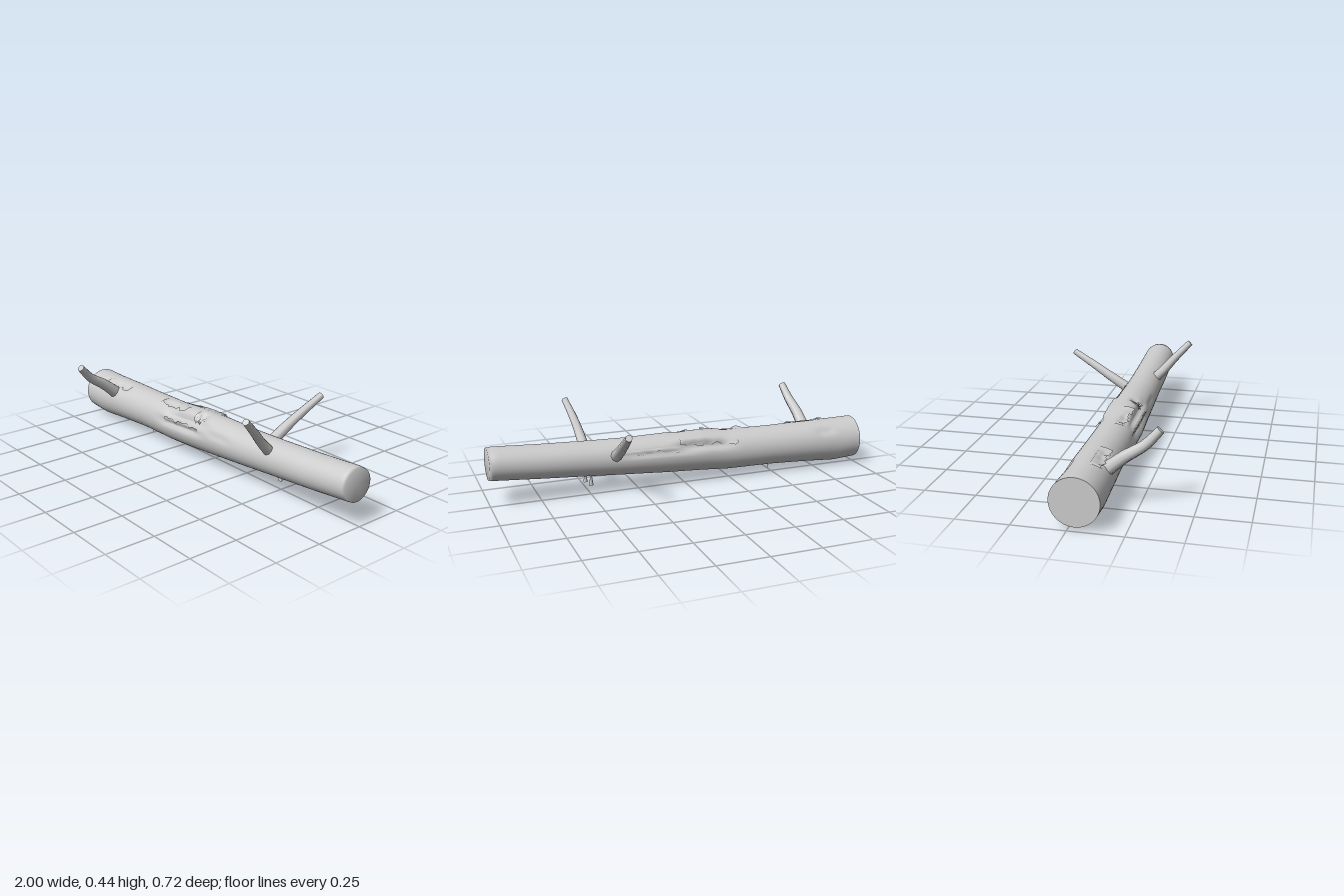
import * as THREE from 'three';

const material = new THREE.MeshStandardMaterial({ color: 0xcccccc });
const barkMaterial = new THREE.MeshStandardMaterial({ color: 0xcccccc, side: THREE.DoubleSide });
const SIDES = 48, STEPS = 120;
const rad = THREE.MathUtils.degToRad;

// Trunk sections: x, bottom y, top y, back z, front z
const sections = [
  [-1, 0.02, 0.245, -0.078, 0.147], [-0.88, 0.011, 0.243, -0.075, 0.147],
  [-0.7, 0.024, 0.243, -0.074, 0.143], [-0.5, 0.034, 0.241, -0.07, 0.136],
  [-0.25, 0.036, 0.245, -0.066, 0.139], [-0.1, 0.046, 0.258, -0.065, 0.146],
  [0.1, 0.058, 0.262, -0.062, 0.137], [0.3, 0.073, 0.26, -0.058, 0.13],
  [0.5, 0.088, 0.266, -0.055, 0.123], [0.75, 0.107, 0.277, -0.056, 0.119],
  [0.975, 0.126, 0.291, -0.057, 0.112], [1, 0.129, 0.288, -0.053, 0.108],
];

// Hollows (negative) and swellings (positive): x, angle, half length, half angle, height
const dents = [
  [-0.13, 12, 0.17, 9, -0.016], [-0.1, 38, 0.15, 13, -0.024],
  [-0.24, 66, 0.06, 10, -0.014], [0.01, 64, 0.025, 12, -0.02],
  [-0.12, 24, 0.14, 6, 0.009], [-0.72, 60, 0.07, 11, -0.012],
  [0.17, 20, 0.08, 7, -0.006], [-0.1, 150, 0.14, 10, -0.018],
  [0.15, 163, 0.2, 6, -0.01], [-0.05, 132, 0.12, 8, 0.009],
  [-0.8, 140, 0.05, 9, -0.008],
];

// Point on the bark; angle runs from the front (0) over the top (90) to the back (180)
function barkPoint(x, angle, lift = 0) {
  let i = 0;
  while (i < sections.length - 2 && x > sections[i + 1][0]) i++;
  const a = sections[i], b = sections[i + 1];
  const t = (x - a[0]) / (b[0] - a[0]);
  const [, bottom, top, back, front] = a.map((v, k) => v + (b[k] - v) * t);
  let d = lift;
  for (const [dx, da, wx, wa, h] of dents) {
    const u = (x - dx) / wx, v = (angle - da) / wa;
    d += h * Math.exp(-(u ** 4) - v * v);
  }
  const c = Math.cos(rad(angle)), s = Math.sin(rad(angle));
  return [x, (top + bottom) / 2 + ((top - bottom) / 2 + d) * s,
    (front + back) / 2 + ((front - back) / 2 + d) * c];
}

function makeGeometry(points, index) {
  const g = new THREE.BufferGeometry();
  g.setAttribute('position', new THREE.Float32BufferAttribute(points.flat(), 3));
  g.setIndex(index);
  g.computeVertexNormals();
  return g;
}

function addMesh(group, name, geometry, mat = material) {
  const mesh = new THREE.Mesh(geometry, mat);
  mesh.name = name;
  group.add(mesh);
  return mesh;
}

// Hollowed trunk with a softly shaded cap on the narrow end
function trunkGeometry() {
  const points = [], index = [];
  for (let i = 0; i <= STEPS; i++)
    for (let j = 0; j < SIDES; j++)
      points.push(barkPoint(-1 + 2 * i / STEPS, j / SIDES * 360));
  const center = points.length;
  points.push([1, 0.209, 0.028]);
  for (let i = 0; i <= STEPS; i++)
    for (let j = 0; j < SIDES; j++) {
      const k = (j + 1) % SIDES, a = i * SIDES + j, b = i * SIDES + k;
      if (i === STEPS) index.push(a, center, b);
      else index.push(a, a + SIDES, b, b, a + SIDES, b + SIDES);
    }
  return makeGeometry(points, index);
}

// Flat cut on the thick end
function cutGeometry() {
  const points = [[-1, 0.133, 0.035]], index = [];
  for (let j = 0; j < SIDES; j++) {
    points.push(barkPoint(-1, j / SIDES * 360));
    index.push(0, j + 1, (j + 1) % SIDES + 1);
  }
  return makeGeometry(points, index);
}

// Loose strip of bark with ragged ends, lifted along one edge
function flapGeometry(x0, x1, a0, a1, lift) {
  const points = [], index = [], nx = 16, na = 5;
  for (let i = 0; i <= nx; i++)
    for (let j = 0; j <= na; j++) {
      const u = i / nx, v = j / na;
      const ragged = (1 - v) * (Math.sin(i * 1.9) + Math.sin(i * 0.8)) * 3;
      const p = barkPoint(x0 + (x1 - x0) * u, a0 + (a1 - a0) * v + ragged,
        0.002 + lift * (1 - v) * (0.7 + 0.3 * Math.sin(i * 1.3)));
      points.push(p);
      if (i < nx && j < na) {
        const a = i * (na + 1) + j, b = a + na + 1;
        index.push(a, b, a + 1, a + 1, b, b + 1);
      }
    }
  return makeGeometry(points, index);
}

// Tapered bent branch with a flat cut tip
function addBranch(group, name, path, r0, r1) {
  const curve = new THREE.CatmullRomCurve3(path.map(p => new THREE.Vector3(...p)));
  const n = 10, sides = 8;
  const g = new THREE.TubeGeometry(curve, n, 1, sides, false);
  const pos = g.attributes.position, v = new THREE.Vector3();
  const tip = [curve.getPointAt(1).toArray()], index = [];
  for (let i = 0; i <= n; i++) {
    const c = curve.getPointAt(i / n), r = r0 + (r1 - r0) * i / n;
    for (let j = 0; j <= sides; j++) {
      const k = i * (sides + 1) + j;
      v.fromBufferAttribute(pos, k).sub(c).multiplyScalar(r).add(c);
      pos.setXYZ(k, v.x, v.y, v.z);
      if (i === n) tip.push(v.toArray());
    }
  }
  for (let j = 1; j <= sides; j++) index.push(0, j, j + 1);
  const branch = new THREE.Group();
  branch.name = name;
  addMesh(branch, name + 'Stem', g);
  addMesh(branch, name + 'Tip', makeGeometry(tip, index), barkMaterial);
  group.add(branch);
}

export function createModel() {
  const log = new THREE.Group();
  log.name = 'fallenLog';
  addMesh(log, 'trunk', trunkGeometry());
  addMesh(log, 'cutEnd', cutGeometry());

  // Torn bark: x range, angle range, lift
  [
    [-0.84, -0.63, 50, 78, 0.012], [-0.34, -0.12, 58, 88, 0.014],
    [-0.04, 0.02, 42, 82, 0.012], [-0.26, 0.02, 24, 6, 0.006],
    [-0.28, 0.04, 148, 122, 0.01], [0.04, 0.36, 162, 148, 0.006],
  ].forEach(f => addMesh(log, 'looseBark', flapGeometry(...f), barkMaterial));

  // Branch stubs
  addBranch(log, 'thickEndBranch',
    [[-0.75, 0.175, 0.1], [-0.75, 0.25, 0.19], [-0.743, 0.31, 0.28], [-0.73, 0.38, 0.345]], 0.034, 0.02);
  addBranch(log, 'frontBranch',
    [[0.505, 0.21, 0.075], [0.512, 0.275, 0.14], [0.525, 0.34, 0.195], [0.55, 0.427, 0.277]], 0.028, 0.017);
  addBranch(log, 'backBranch',
    [[0.378, 0.19, -0.03], [0.38, 0.245, -0.12], [0.39, 0.305, -0.22], [0.407, 0.378, -0.348]], 0.03, 0.017);

  // Small fungi hanging below: x, bottom y, height, z
  [[0.497, 0.045, 0.055, 0.004], [0.525, 0.065, 0.04, 0.009]].forEach(([x, y, h, z]) => {
    const cap = addMesh(log, 'fungus', new THREE.CylinderGeometry(0.004, 0.011, h, 8));
    cap.position.set(x, y + h / 2, z);
    cap.scale.z = 0.7;
  });

  // Tiny splinter under the trunk
  const splinter = addMesh(log, 'splinter', new THREE.ConeGeometry(0.003, 0.025, 5));
  splinter.rotation.x = Math.PI;
  splinter.position.set(-0.5, 0.0125, 0.038);
  return log;
}
